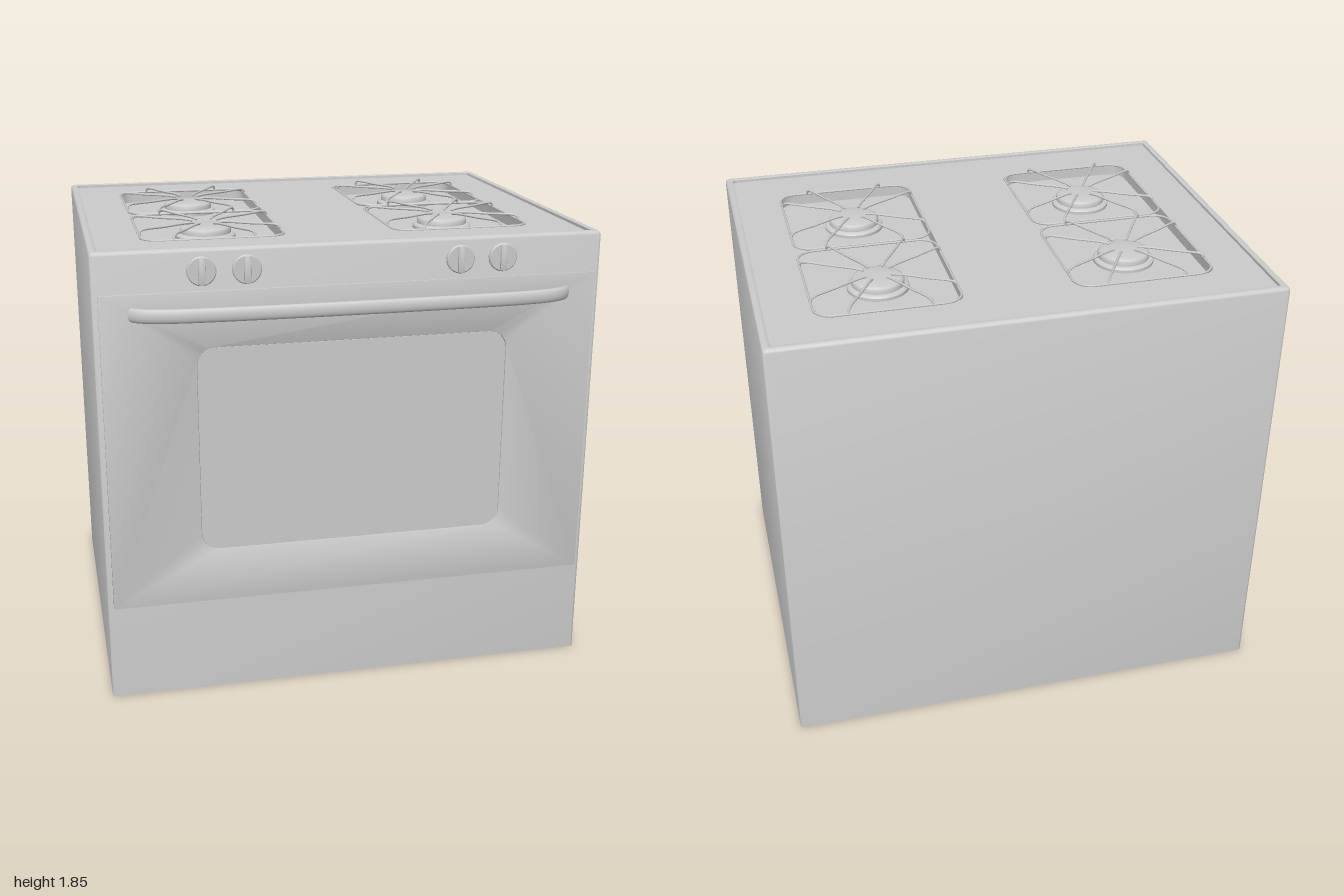
import * as THREE from 'three';
import { toCreasedNormals } from 'three/addons/utils/BufferGeometryUtils.js';

const material = new THREE.MeshStandardMaterial({ color: 0xcccccc });

function add(parent, name, geometry, x = 0, y = 0, z = 0) {
  const mesh = new THREE.Mesh(geometry, material);
  mesh.name = name;
  mesh.position.set(x, y, z);
  parent.add(mesh);
  return mesh;
}

// Counter-clockwise outline of a rounded rectangle
function roundedRect(cx, cy, w, h, r, steps = 6) {
  const points = [];
  [[1, -1], [1, 1], [-1, 1], [-1, -1]].forEach(([sx, sy], corner) => {
    for (let i = 0; i <= steps; i++) {
      const a = (corner - 1 + i / steps) * Math.PI / 2;
      points.push(new THREE.Vector2(
        cx + sx * (w / 2 - r) + r * Math.cos(a),
        cy + sy * (h / 2 - r) + r * Math.sin(a)));
    }
  });
  return points;
}

function extrude(outline, holes, depth, bevel = 0) {
  const shape = new THREE.Shape(outline);
  holes.forEach(h => shape.holes.push(new THREE.Path(h)));
  const geo = new THREE.ExtrudeGeometry(shape, {
    depth, bevelEnabled: bevel > 0, bevelSize: bevel, bevelOffset: -bevel,
    bevelThickness: bevel, bevelSegments: 2,
  });
  return toCreasedNormals(geo, 0.6);
}

// Side walls running up over the rounded rim and down to the recessed deck
function shellGeometry() {
  const sections = [[0, 0], [0, 1.825], [0.003, 1.833], [0.008, 1.838], [0.015, 1.84], [0.026, 1.84], [0.031, 1.837], [0.032, 1.82]];
  const positions = [], index = [];
  let n = 0;
  for (const [inset, y] of sections) {
    const loop = roundedRect(0, 0.05, 2 - 2 * inset, 1.6 - 2 * inset, 0.012, 3);
    n = loop.length;
    loop.forEach(p => positions.push(p.x, y, -p.y));
  }
  for (let i = 0; i < sections.length - 1; i++) {
    for (let j = 0; j < n; j++) {
      const a = i * n + j, b = i * n + (j + 1) % n;
      index.push(a, b, b + n, a, b + n, a + n);
    }
  }
  const geo = new THREE.BufferGeometry();
  geo.setAttribute('position', new THREE.Float32BufferAttribute(positions, 3));
  geo.setIndex(index);
  return toCreasedNormals(geo, 0.7);
}

function createGrate() {
  const grate = new THREE.Group();
  grate.name = 'grate';
  const half = 0.283;
  const ring = roundedRect(0, 0, 2 * half, 2 * half, 0.07).map(p => new THREE.Vector3(p.x, 1.827, p.y));
  const path = new THREE.CurvePath();
  ring.forEach((p, i) => path.add(new THREE.LineCurve3(p, ring[(i + 1) % ring.length])));
  add(grate, 'grateFrame', new THREE.TubeGeometry(path, 112, 0.005, 6, true));

  // Eight fingers rise from the frame and reach in over the burner
  const ends = [];
  for (const sx of [-1, 1]) for (const sz of [-1, 1]) {
    ends.push([sx * half, sz * 0.16], [sx * 0.16, sz * half]);
  }
  for (const [x, z] of ends) {
    const length = Math.hypot(x, z);
    const at = (r, y) => new THREE.Vector3(x * r / length, y, z * r / length);
    const curve = new THREE.CatmullRomCurve3([
      at(length, 1.825), at(length - 0.004, 1.84), at(length - 0.015, 1.846),
      at(0.2, 1.846), at(0.09, 1.846), at(0.06, 1.843),
    ]);
    add(grate, 'grateFinger', new THREE.TubeGeometry(curve, 20, 0.005, 6));
    add(grate, 'fingerTip', new THREE.SphereGeometry(0.005, 6, 4), x * 0.06 / length, 1.843, z * 0.06 / length);
  }
  return grate;
}

function createBurner() {
  const profile = [
    [0.122, 1.774], [0.122, 1.79], [0.116, 1.797], [0.104, 1.799], [0.104, 1.815],
    [0.1, 1.822], [0.09, 1.826], [0.05, 1.829], [0, 1.83],
  ].map(p => new THREE.Vector2(...p));
  return toCreasedNormals(new THREE.LatheGeometry(profile, 36), 0.7);
}

function createKnob() {
  const knob = new THREE.Group();
  knob.name = 'knob';
  const profile = [[0.056, 0], [0.056, 0.011], [0.052, 0.015], [0, 0.015]].map(p => new THREE.Vector2(...p));
  const disc = toCreasedNormals(new THREE.LatheGeometry(profile, 32), 0.7);
  disc.rotateX(Math.PI / 2);
  add(knob, 'knobDisc', disc);
  add(knob, 'knobGrip', extrude(roundedRect(0, 0, 0.026, 0.106, 0.012), [], 0.02, 0.003), 0, 0, 0.003);
  return knob;
}

export function createModel() {
  const oven = new THREE.Group();
  oven.name = 'oven';

  // Cabinet
  add(oven, 'cabinetShell', shellGeometry());
  const base = new THREE.ShapeGeometry(new THREE.Shape(roundedRect(0, -0.05, 2, 1.6, 0.012, 3)));
  base.rotateX(Math.PI / 2);
  add(oven, 'cabinetBase', base);

  // Recessed cooktop with one long well on each side
  const wellX = 0.503;
  const wells = [-wellX, wellX].map(x => roundedRect(x, 0.0575, 0.575, 1.165, 0.07));
  const deck = extrude(roundedRect(0, 0.05, 1.94, 1.54, 0.01), wells, 0.05);
  deck.rotateX(-Math.PI / 2);
  add(oven, 'cooktop', deck, 0, 1.776, 0);

  for (const x of [-wellX, wellX]) {
    add(oven, 'wellFloor', new THREE.BoxGeometry(0.62, 0.01, 1.2), x, 1.773, -0.0575);
    for (const z of [-0.349, 0.235]) {
      add(oven, 'burner', createBurner(), x, 0, z);
      const grate = createGrate();
      grate.position.set(x, 0, z);
      oven.add(grate);
    }
  }

  // Door with inset window
  const windowOutline = roundedRect(0, 1.0425, 1.235, 0.835, 0.07);
  add(oven, 'door', extrude(roundedRect(0, 1.04, 1.955, 1.28, 0.006, 2), [windowOutline], 0.01, 0.003), 0, 0, 0.752);
  add(oven, 'doorWindow', extrude(roundedRect(0, 1.0425, 1.233, 0.833, 0.07), [], 0.012), 0, 0, 0.75);

  // Bowed handle with a tall oval section
  const bow = [[-0.862, 0.757], [-0.845, 0.775], [-0.8, 0.798], [-0.7, 0.817], [-0.45, 0.829], [0, 0.834]];
  const mirrored = bow.slice(0, -1).reverse().map(([x, z]) => [-x, z]);
  const handleCurve = new THREE.CatmullRomCurve3([...bow, ...mirrored].map(([x, z]) => new THREE.Vector3(x, 0, z)));
  const handle = add(oven, 'handle', new THREE.TubeGeometry(handleCurve, 72, 0.012, 14), 0, 1.603, 0);
  handle.scale.y = 2.3;

  // Control knobs
  for (const x of [-0.59, -0.418, 0.418, 0.59]) {
    const knob = createKnob();
    knob.position.set(x, 1.755, 0.75);
    oven.add(knob);
  }
  return oven;
}
